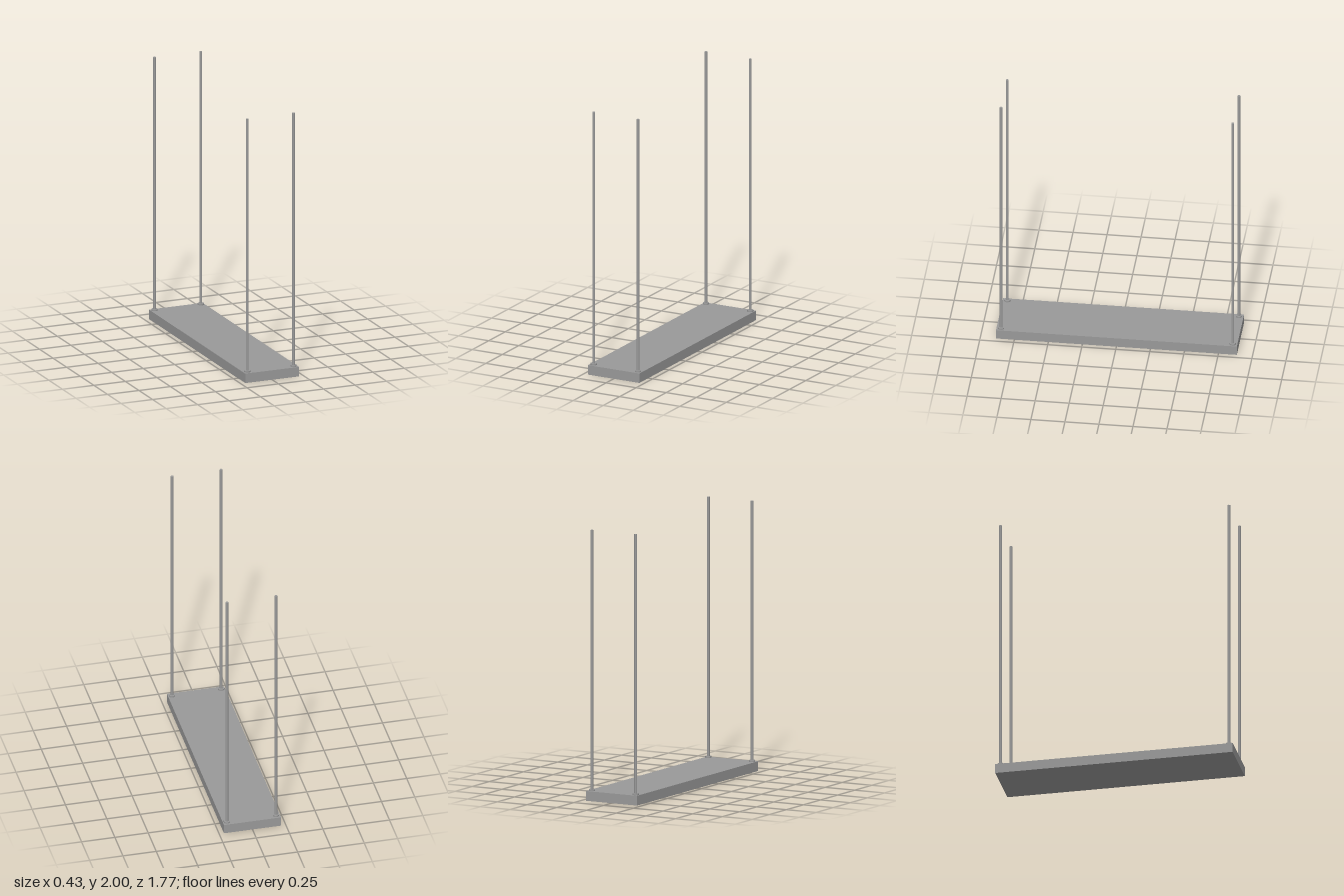
import * as THREE from 'three';

export function createModel() {
  const model = new THREE.Group();
  const steel = new THREE.MeshStandardMaterial({ color: 0x999999 });
  steel.name = 'grey';

  const add = (name, geometry, x, y, z) => {
    const mesh = new THREE.Mesh(geometry, steel);
    mesh.name = name;
    mesh.position.set(x, y, z);
    model.add(mesh);
  };

  // Hanging shelf board
  const boardTop = 0.072;
  add('board', new THREE.BoxGeometry(0.428, boardTop, 1.77), 0, boardTop / 2, 0);

  // Suspension rod with a fixing collar at each corner
  const rodLength = 2 - boardTop;
  const rod = new THREE.CylinderGeometry(0.0105, 0.0105, rodLength, 24);
  const collar = new THREE.CylinderGeometry(0.023, 0.023, 0.012, 24);
  for (const x of [-0.184, 0.184]) {
    for (const z of [-0.851, 0.851]) {
      add('rod', rod, x, boardTop + rodLength / 2, z);
      add('collar', collar, x, boardTop + 0.006, z);
    }
  }
  return model;
}
